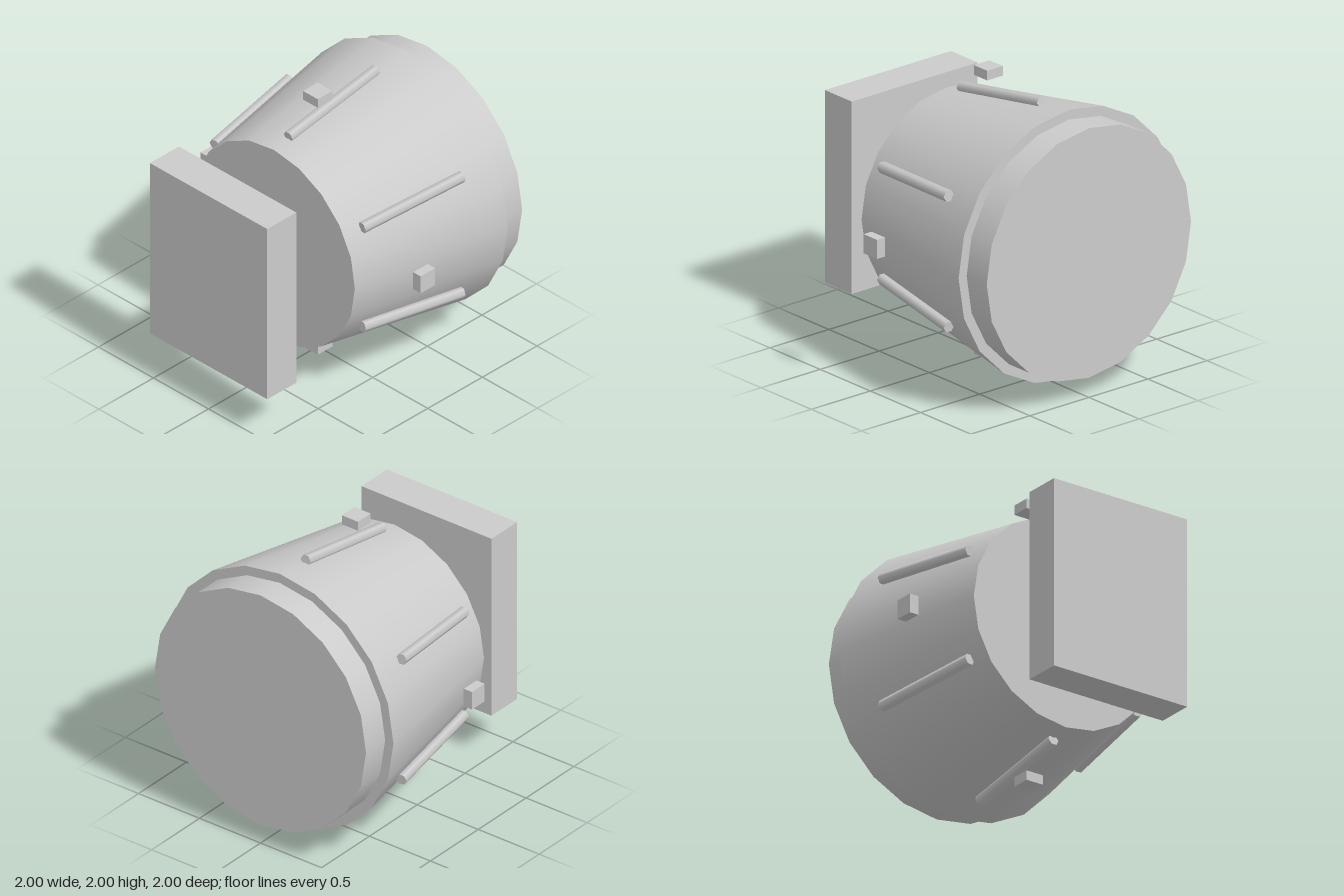
import * as THREE from 'three';

const material = new THREE.MeshStandardMaterial({ color: 0xcccccc });
const AXIS_Y = 1; // height of the drum axis

function addMesh(parent, name, geometry, x = 0, y = 0, z = 0) {
  const mesh = new THREE.Mesh(geometry, material);
  mesh.name = name;
  mesh.position.set(x, y, z);
  parent.add(mesh);
  return mesh;
}

// Cylinder or cone lying along x, from x0 (radius r0) to x1 (radius r1)
function lyingCylinder(x0, r0, x1, r1, sides, start = 0) {
  const g = new THREE.CylinderGeometry(r1, r0, x1 - x0, sides, 1, false, start);
  return g.rotateZ(-Math.PI / 2).translate((x0 + x1) / 2, 0, 0);
}

export function createModel() {
  const model = new THREE.Group();
  model.name = 'mountedDrum';

  // Tapered drum, end cap and the neck that joins it to the wall plate
  addMesh(model, 'drumBody', lyingCylinder(-0.4, 0.734, 0.8, 0.933, 20), 0, AXIS_Y);
  addMesh(model, 'endCap', lyingCylinder(0.79, 0.865, 1, 0.865, 20), 0, AXIS_Y);
  addMesh(model, 'neck', lyingCylinder(-0.74, 0.2, -0.39, 0.2, 10, Math.PI / 2), 0, AXIS_Y);
  addMesh(model, 'mountingPlate', new THREE.BoxGeometry(0.266, 1.333, 1.066), -0.867, AXIS_Y);

  // Six ribs following the slope of the drum
  const slope = Math.atan((0.933 - 0.734) / 1.2);
  const rib = lyingCylinder(-0.405, 0.04, 0.405, 0.04, 6);
  for (let i = 0; i < 6; i++) {
    const arm = new THREE.Group();
    arm.name = 'rib' + (i + 1);
    arm.position.y = AXIS_Y;
    arm.rotation.x = (i * Math.PI) / 3;
    addMesh(arm, 'ribRod', rib, 0.13, 0.84, 0).rotation.z = slope;
    model.add(arm);
  }

  // Four small blocks floating around the drum
  const block = new THREE.BoxGeometry(0.133, 0.067, 0.133);
  for (let i = 0; i < 4; i++) {
    const arm = new THREE.Group();
    arm.name = 'block' + (i + 1);
    arm.position.y = AXIS_Y;
    arm.rotation.x = (i * Math.PI) / 2;
    addMesh(arm, 'blockBody', block, 0, 0.967, 0);
    model.add(arm);
  }

  return model;
}
